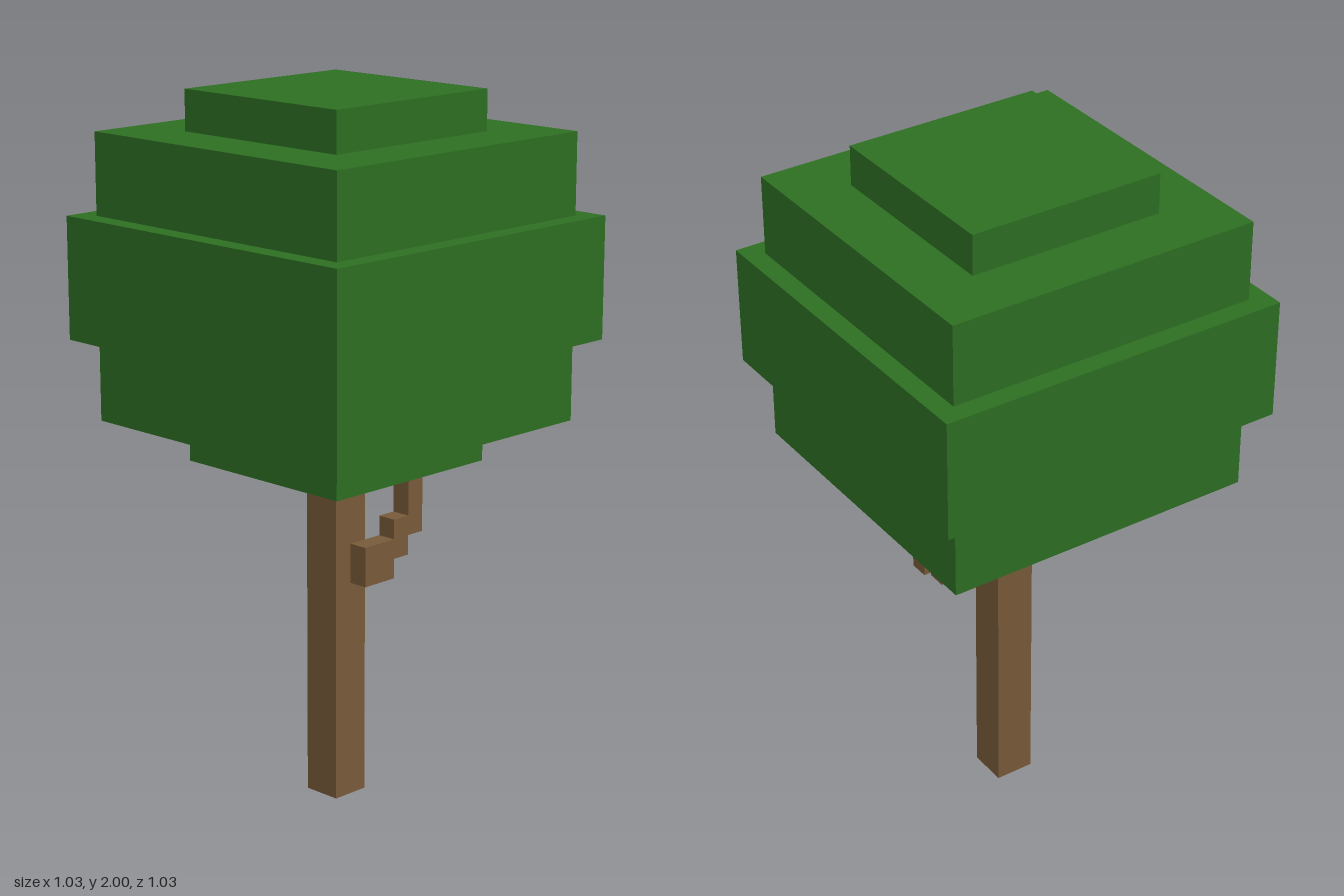
import * as THREE from 'three';

const U = 2 / 35; // one block unit

export function createModel() {
  const tree = new THREE.Group();
  tree.name = 'blockTree';

  const bark = new THREE.MeshStandardMaterial({ color: 0x785a3a });
  bark.name = 'bark brown';
  const leaf = new THREE.MeshStandardMaterial({ color: 0x2d6e22 });
  leaf.name = 'leaf green';

  // Box given by its ranges in block units
  const block = (name, material, [x0, x1], [y0, y1], [z0, z1]) => {
    const mesh = new THREE.Mesh(
      new THREE.BoxGeometry((x1 - x0) * U, (y1 - y0) * U, (z1 - z0) * U), material);
    mesh.position.set((x0 + x1) * U / 2, (y0 + y1) * U / 2, (z0 + z1) * U / 2);
    mesh.name = name;
    return mesh;
  };

  // Trunk
  tree.add(block('trunk', bark, [-1, 1], [0, 17], [-1, 1]));

  // Stepped branch on the left side, climbing backwards into the crown
  const branch = new THREE.Group();
  branch.name = 'branch';
  branch.add(
    block('branchBase', bark, [1, 2], [11, 13], [-2, 0]),
    block('branchStep', bark, [1, 2], [12, 14], [-3, -2]),
    block('branchUpright', bark, [1, 2], [13, 17], [-4, -3]));
  tree.add(branch);

  // Crown: square layers, [half width, bottom, top]
  const crown = new THREE.Group();
  crown.name = 'crown';
  const layers = [[5, 17, 19], [8, 19, 23], [9, 23, 29], [8, 29, 33], [5, 33, 35]];
  layers.forEach(([h, y0, y1], i) =>
    crown.add(block(`leafLayer${i + 1}`, leaf, [-h, h], [y0, y1], [-h, h])));
  tree.add(crown);

  return tree;
}
